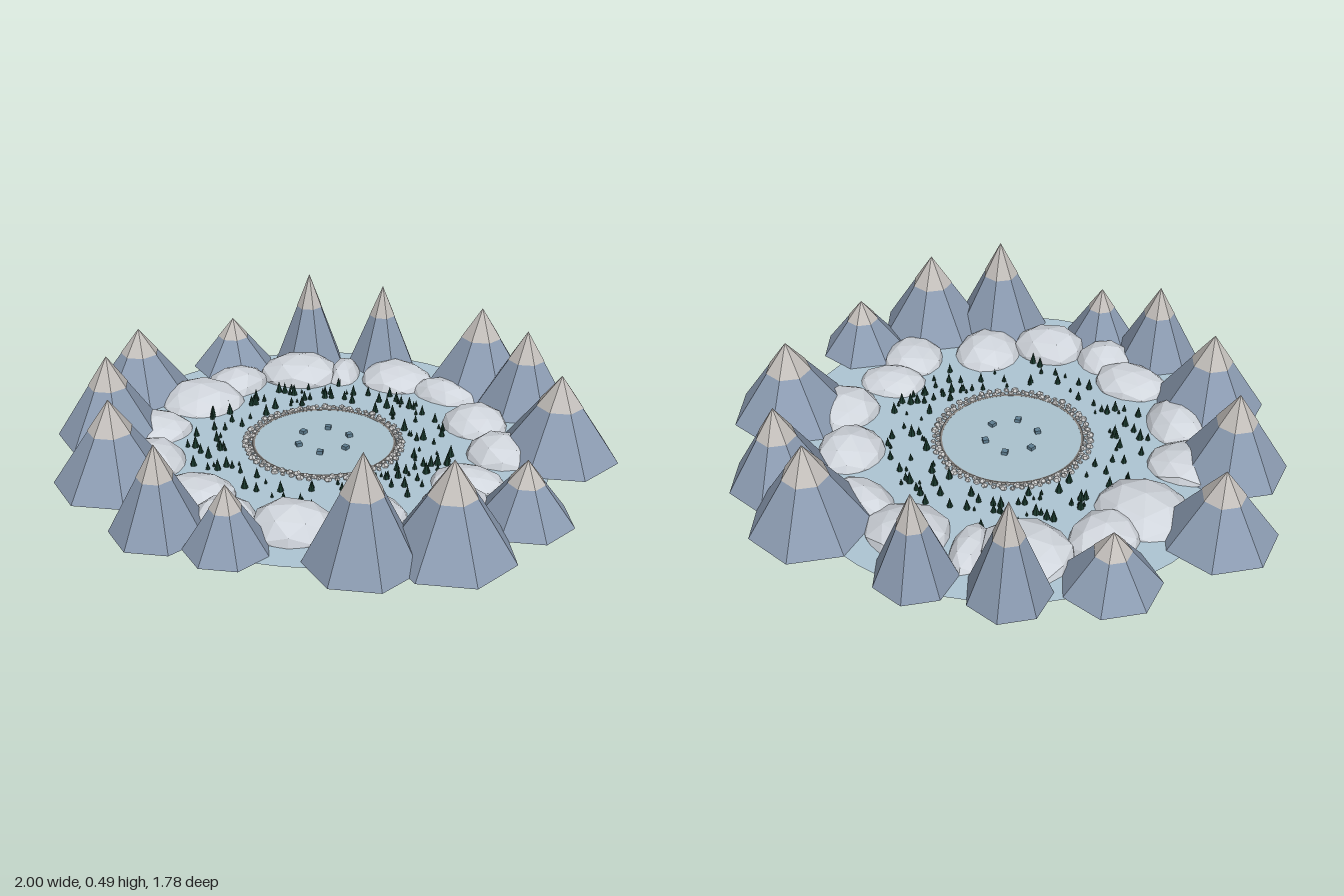
import * as THREE from 'three';

const BASE = 0.125; // ground level
const CX = -0.035, CZ = -0.015; // centre of the valley

// seeded random numbers
let seed = 7;
const rnd = () => {
  seed = (seed * 16807) % 2147483647;
  return seed / 2147483647;
};
const between = (a, b) => a + (b - a) * rnd();

const paint = (color, extra = {}) =>
  new THREE.MeshStandardMaterial({ color, flatShading: true, ...extra });
const rockMat = paint(0x8c9cb2);
const capMat = paint(0xc4c0bc);
const boulderMat = paint(0xd0d5dc);
const pebbleMat = paint(0xc8c8c8);
const rimMat = paint(0x8c8884);
const groundMat = paint(0xaec6d4, { side: THREE.DoubleSide });
const lakeMat = paint(0xabc3cf, { side: THREE.DoubleSide });
const treeMat = paint(0x17352a);
const floatMat = paint(0x5f7f92);

function add(parent, name, geometry, material, x, y, z) {
  const mesh = new THREE.Mesh(geometry, material);
  mesh.name = name;
  mesh.position.set(x, y, z);
  parent.add(mesh);
  return mesh;
}

function group(parent, name) {
  const g = new THREE.Group();
  g.name = name;
  parent.add(g);
  return g;
}

// x, z, radius, peak height
const MOUNTAINS = [
  [-0.505, -0.635, 0.165, 0.33], [-0.21, -0.755, 0.14, 0.49],
  [0.09, -0.755, 0.14, 0.455], [0.495, -0.605, 0.21, 0.44],
  [0.67, -0.43, 0.185, 0.425], [0.785, -0.055, 0.22, 0.42],
  [0.675, 0.41, 0.165, 0.335], [0.455, 0.635, 0.21, 0.44],
  [0.195, 0.72, 0.185, 0.49], [-0.22, 0.715, 0.14, 0.345],
  [-0.455, 0.645, 0.16, 0.425], [-0.69, 0.365, 0.205, 0.425],
  [-0.81, 0.025, 0.195, 0.425], [-0.805, -0.335, 0.195, 0.385],
];

// seven-sided peak with a pale cap sharing its slope
function addMountain(parent, [x, z, r, top]) {
  const m = group(parent, 'mountain');
  m.position.set(x, BASE - 0.001, z);
  m.rotation.y = Math.PI;
  const h = top - BASE, capH = h * 0.37;
  add(m, 'mountainBody', new THREE.ConeGeometry(r, h, 7), rockMat, 0, h / 2, 0);
  add(m, 'mountainCap', new THREE.ConeGeometry(r * 0.375, capH, 7), capMat, 0, h - capH / 2 + 0.002, 0);
}

// x, z, half width, half depth, half height, yaw
const BOULDERS = [
  [-0.23, -0.59, 0.16, 0.15, 0.1, 0], [-0.045, -0.61, 0.075, 0.12, 0.075, 0],
  [0.175, -0.575, 0.15, 0.13, 0.09, -0.4], [0.36, -0.465, 0.14, 0.1, 0.08, -0.5],
  [0.49, -0.23, 0.12, 0.135, 0.09, 0.2], [0.6, -0.015, 0.14, 0.135, 0.085, 0],
  [0.49, 0.2, 0.13, 0.1, 0.08, 0], [0.455, 0.38, 0.125, 0.14, 0.08, 0.2],
  [0.185, 0.505, 0.135, 0.15, 0.09, 0], [-0.035, 0.58, 0.145, 0.13, 0.097, 0],
  [-0.27, 0.545, 0.105, 0.12, 0.095, 0.3], [-0.4, 0.41, 0.15, 0.11, 0.08, -0.2],
  [-0.6, 0.215, 0.135, 0.135, 0.088, 0.3], [-0.65, -0.01, 0.135, 0.12, 0.08, 0],
  [-0.555, -0.28, 0.165, 0.18, 0.09, -0.4], [-0.455, -0.45, 0.11, 0.14, 0.085, -0.5],
];

// faceted boulder: a coarse ball dented by a smooth wave
function boulderGeometry(k) {
  const geo = new THREE.IcosahedronGeometry(1, 1);
  const p = geo.attributes.position, v = new THREE.Vector3();
  for (let i = 0; i < p.count; i++) {
    v.fromBufferAttribute(p, i);
    const wave = Math.sin(2.7 * v.x + k) + Math.sin(3.1 * v.y + 2 * k) + Math.sin(2.9 * v.z + 3 * k);
    v.multiplyScalar(1 + 0.05 * wave);
    p.setXYZ(i, v.x, v.y, v.z);
  }
  geo.computeVertexNormals();
  return geo;
}

function addTree(parent, cone) {
  const a = between(0, Math.PI * 2), d = between(0.305, 0.49), s = between(0.45, 1.1);
  const t = add(parent, 'tree', cone, treeMat, CX + d * Math.cos(a), BASE - 0.003, CZ + d * Math.sin(a));
  t.scale.setScalar(s);
  t.rotation.y = between(0, 6);
}

export function createModel() {
  const model = new THREE.Group();
  model.name = 'mountainValley';

  // valley floor and round lake
  const ground = add(model, 'ground', new THREE.CircleGeometry(0.81, 48), groundMat, CX, BASE, CZ);
  ground.rotation.x = -Math.PI / 2;
  const lake = add(model, 'lake', new THREE.CircleGeometry(0.255, 48), lakeMat, CX, BASE + 0.003, CZ);
  lake.rotation.x = -Math.PI / 2;
  const rim = add(model, 'lakeRim', new THREE.TorusGeometry(0.254, 0.006, 5, 48), rimMat, CX, BASE, CZ);
  rim.rotation.x = Math.PI / 2;

  // two rows of pebbles round the lake
  const pebbles = group(model, 'pebbleRing');
  const pebbleGeo = new THREE.DodecahedronGeometry(1);
  for (let i = 0; i < 110; i++) {
    const a = (i / 110) * Math.PI * 2;
    const d = (i % 2 ? 0.264 : 0.28) + between(-0.004, 0.004);
    const s = between(0.008, 0.014);
    const p = add(pebbles, 'pebble', pebbleGeo, pebbleMat, CX + d * Math.cos(a), BASE + 0.003, CZ + d * Math.sin(a));
    p.scale.set(s, s * 0.85, s);
    p.rotation.set(between(0, 3), between(0, 3), 0);
  }

  // six small blocks in a ring on the lake
  const blocks = group(model, 'lakeBlocks');
  const blockGeo = new THREE.BoxGeometry(0.021, 0.02, 0.021);
  for (let i = 0; i < 6; i++) {
    const a = Math.PI / 6 + (i * Math.PI) / 3;
    const b = add(blocks, 'lakeBlock', blockGeo, floatMat, CX + 0.097 * Math.cos(a), BASE + 0.006, CZ + 0.097 * Math.sin(a));
    b.rotation.y = -a;
  }

  // scattered conifers between lake and boulders
  const trees = group(model, 'trees');
  const cone = new THREE.ConeGeometry(0.013, 0.046, 6);
  cone.translate(0, 0.023, 0);
  for (let i = 0; i < 140; i++) addTree(trees, cone);

  // ring of boulders, sunk halfway through the floor
  const boulders = group(model, 'boulders');
  BOULDERS.forEach(([x, z, rx, rz, ry, yaw], i) => {
    const b = add(boulders, 'boulder', boulderGeometry(i * 1.7), boulderMat, x, 0.107, z);
    b.scale.set(rx, ry, rz);
    b.rotation.y = yaw;
  });

  // outer ring of mountains
  const mountains = group(model, 'mountains');
  MOUNTAINS.forEach((m) => addMountain(mountains, m));

  return model;
}
